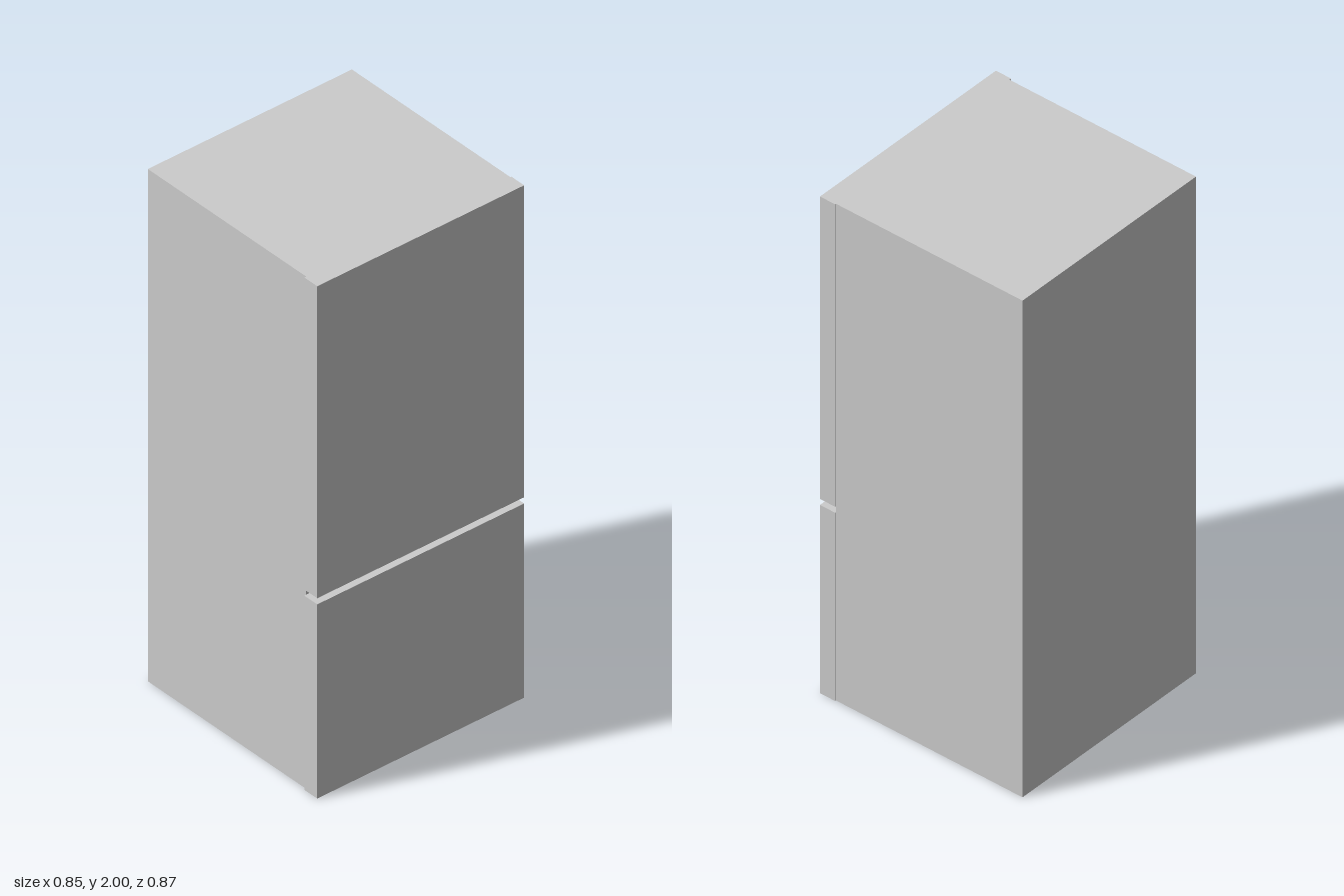
import * as THREE from 'three';

const material = new THREE.MeshStandardMaterial({ color: 0xcccccc });

// Box given by its lower and upper corners
function boxBetween(name, [x0, y0, z0], [x1, y1, z1]) {
  const mesh = new THREE.Mesh(new THREE.BoxGeometry(x1 - x0, y1 - y0, z1 - z0), material);
  mesh.position.set((x0 + x1) / 2, (y0 + y1) / 2, (z0 + z1) / 2);
  mesh.name = name;
  return mesh;
}

export function createModel() {
  const group = new THREE.Group();
  group.name = 'refrigerator';

  const doorBack = 0.359, doorFront = 0.423, doorHalfWidth = 0.433;

  // Cabinet, slightly narrower than the doors
  group.add(boxBetween('cabinet', [-doorFront, 0, -0.429], [doorBack, 2, 0.425]));

  // Two doors on the +x side, with a gap between them
  for (const [name, bottom, top] of [['lowerDoor', 0, 0.758], ['upperDoor', 0.782, 2]]) {
    group.add(boxBetween(name, [doorBack, bottom, -doorHalfWidth], [doorFront, top, doorHalfWidth]));
  }
  return group;
}
